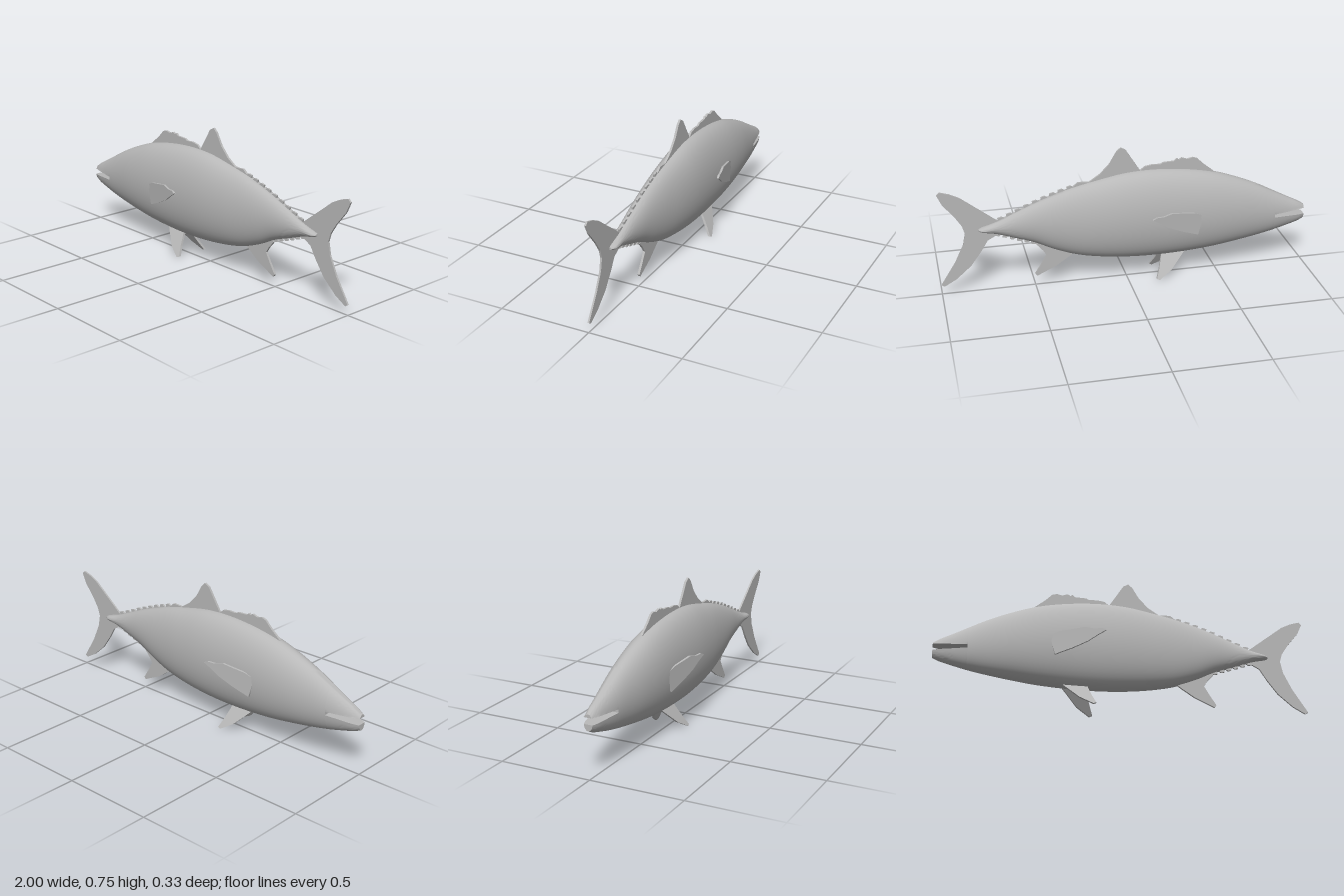
import * as THREE from 'three';
import { toCreasedNormals } from 'three/addons/utils/BufferGeometryUtils.js';

const skin = new THREE.MeshStandardMaterial({ color: 0xb8b8b8 });
skin.name = 'grey skin';

// Body stations from snout to tail: x, top, bottom, half width
const stations = [
  [-1, 0.335, 0.25, 0.024], [-0.97, 0.354, 0.236, 0.034], [-0.9, 0.39, 0.215, 0.047],
  [-0.82, 0.432, 0.194, 0.061], [-0.74, 0.474, 0.177, 0.073], [-0.6, 0.534, 0.153, 0.093],
  [-0.45, 0.582, 0.132, 0.106], [-0.2, 0.617, 0.117, 0.112], [0, 0.613, 0.122, 0.109],
  [0.17, 0.582, 0.142, 0.096], [0.28, 0.557, 0.166, 0.083], [0.4, 0.52, 0.211, 0.068],
  [0.5, 0.483, 0.26, 0.055], [0.6, 0.44, 0.295, 0.042], [0.7, 0.398, 0.33, 0.034],
  [0.75, 0.382, 0.342, 0.035], [0.775, 0.375, 0.347, 0.031], [0.79, 0.368, 0.353, 0.018],
];
const profile = new THREE.CubicInterpolant(
  stations.map((s) => s[0]), stations.flatMap((s) => s.slice(1)), 3, new Float32Array(3));

// Loft of elliptical rings from x0 to x1; limitY(y, x) can flatten part of each ring
function loft(x0, x1, rings, limitY = (y) => y) {
  const sides = 48, pos = [], index = [];
  for (let i = 0; i <= rings; i++) {
    const x = x0 + ((x1 - x0) * i) / rings;
    const [top, bottom, w] = profile.evaluate(x);
    for (let j = 0; j < sides; j++) {
      const a = (j / sides) * Math.PI * 2;
      const y = (top + bottom) / 2 + ((top - bottom) / 2) * Math.cos(a);
      pos.push(x, limitY(y, x), w * Math.sin(a));
    }
  }
  const at = (i, j) => i * sides + (j % sides);
  for (let i = 0; i < rings; i++) {
    for (let j = 0; j < sides; j++) {
      index.push(at(i, j), at(i, j + 1), at(i + 1, j));
      index.push(at(i, j + 1), at(i + 1, j + 1), at(i + 1, j));
    }
  }
  // End caps
  for (const [i, x] of [[0, x0], [rings, x1]]) {
    const [top, bottom] = profile.evaluate(x);
    const c = pos.length / 3;
    pos.push(x, limitY((top + bottom) / 2, x), 0);
    for (let j = 0; j < sides; j++) {
      if (i === 0) index.push(c, at(i, j + 1), at(i, j));
      else index.push(c, at(i, j), at(i, j + 1));
    }
  }
  const g = new THREE.BufferGeometry();
  g.setAttribute('position', new THREE.Float32BufferAttribute(pos, 3));
  g.setIndex(index);
  return toCreasedNormals(g, 0.7);
}

// Thin plate from an outline in x, y; offsetZ(x, y) leans it sideways
function plate(points, thickness, offsetZ = () => 0) {
  const shape = new THREE.Shape(points.map(([x, y]) => new THREE.Vector2(x, y)));
  const g = new THREE.ExtrudeGeometry(shape, { depth: thickness, bevelEnabled: false });
  const p = g.attributes.position;
  for (let i = 0; i < p.count; i++) {
    p.setZ(i, p.getZ(i) - thickness / 2 + offsetZ(p.getX(i), p.getY(i)));
  }
  g.computeVertexNormals();
  return g;
}

export function createModel() {
  const fish = new THREE.Group();
  fish.name = 'fish';
  const add = (name, geometry) => {
    const mesh = new THREE.Mesh(geometry, skin);
    mesh.name = name;
    fish.add(mesh);
  };

  // Body and open jaws
  const corner = -0.82;
  add('body', loft(corner, 0.79, 90));
  add('upperJaw', loft(-1, corner, 16, (y, x) => Math.max(y, 0.311 - (x - corner) * 0.04)));
  add('lowerJaw', loft(-1, corner, 16, (y, x) => Math.min(y, 0.293 + (x - corner) * 0.05)));

  // Tail fin
  add('tailFin', plate([
    [0.68, 0.4], [0.7, 0.41], [0.79, 0.48], [0.88, 0.55], [0.93, 0.575], [0.98, 0.59],
    [0.995, 0.575], [0.97, 0.52], [0.91, 0.445], [0.875, 0.39], [0.862, 0.345],
    [0.875, 0.28], [0.92, 0.185], [1, 0.058], [0.985, 0.048], [0.92, 0.085],
    [0.84, 0.155], [0.785, 0.23], [0.745, 0.295], [0.7, 0.32], [0.68, 0.335],
  ], 0.01));

  // Fins along the back and belly
  add('firstDorsalFin', plate([
    [-0.5, 0.54], [-0.48, 0.577], [-0.42, 0.625], [-0.385, 0.66], [-0.36, 0.667], [-0.33, 0.66],
    [-0.3, 0.67], [-0.285, 0.66], [-0.275, 0.668], [-0.26, 0.655], [-0.2, 0.652],
    [-0.185, 0.643], [-0.14, 0.645], [-0.1, 0.638], [-0.075, 0.617], [-0.07, 0.58],
  ], 0.012));
  add('secondDorsalFin', plate([
    [-0.09, 0.58], [-0.075, 0.617], [-0.035, 0.68], [0.003, 0.74], [0.03, 0.755], [0.052, 0.735],
    [0.09, 0.67], [0.14, 0.617], [0.2, 0.577], [0.26, 0.58], [0.29, 0.555], [0.28, 0.52],
  ], 0.012));
  add('analFin', plate([
    [0.28, 0.19], [0.3, 0.165], [0.385, 0.107], [0.49, 0.057], [0.5, 0.07],
    [0.465, 0.125], [0.436, 0.175], [0.455, 0.205], [0.49, 0.245], [0.47, 0.27],
  ], 0.012));

  // Rows of small finlets, tips pointing back
  for (let k = 0; k < 9; k++) {
    const x = 0.27 + k * 0.046;
    const y0 = profile.evaluate(x)[0], y1 = profile.evaluate(x + 0.05)[0];
    add('upperFinlet', plate([
      [x, y0 - 0.015], [x + 0.045, y1 - 0.015], [x + 0.052, y1 + 0.014], [x + 0.03, y1 + 0.02],
    ], 0.01));
  }
  for (let k = 0; k < 6; k++) {
    const x = 0.47 + k * 0.038;
    const y0 = profile.evaluate(x)[1], y1 = profile.evaluate(x + 0.04)[1];
    add('lowerFinlet', plate([
      [x, y0 + 0.015], [x + 0.025, y1 - 0.017], [x + 0.044, y1 - 0.013], [x + 0.038, y1 + 0.015],
    ], 0.01));
  }

  // Paired fins
  for (const [side, s] of [['left', 1], ['right', -1]]) {
    add(side + 'PectoralFin', plate([
      [-0.37, 0.262], [-0.33, 0.278], [-0.28, 0.297], [-0.2, 0.335], [-0.15, 0.37], [-0.108, 0.395],
      [-0.13, 0.405], [-0.17, 0.403], [-0.22, 0.414], [-0.27, 0.405], [-0.35, 0.392], [-0.4, 0.37],
    ], 0.012, (x) => s * (0.1 + 0.2 * (x + 0.4))));
    add(side + 'PelvicFin', plate([
      [-0.33, 0.14], [-0.31, 0.12], [-0.235, 0.045], [-0.165, 0.004], [-0.15, 0.01],
      [-0.17, 0.06], [-0.185, 0.11], [-0.19, 0.14],
    ], 0.014, (x, y) => s * (0.025 + 0.6 * (0.12 - y))));
  }
  return fish;
}
